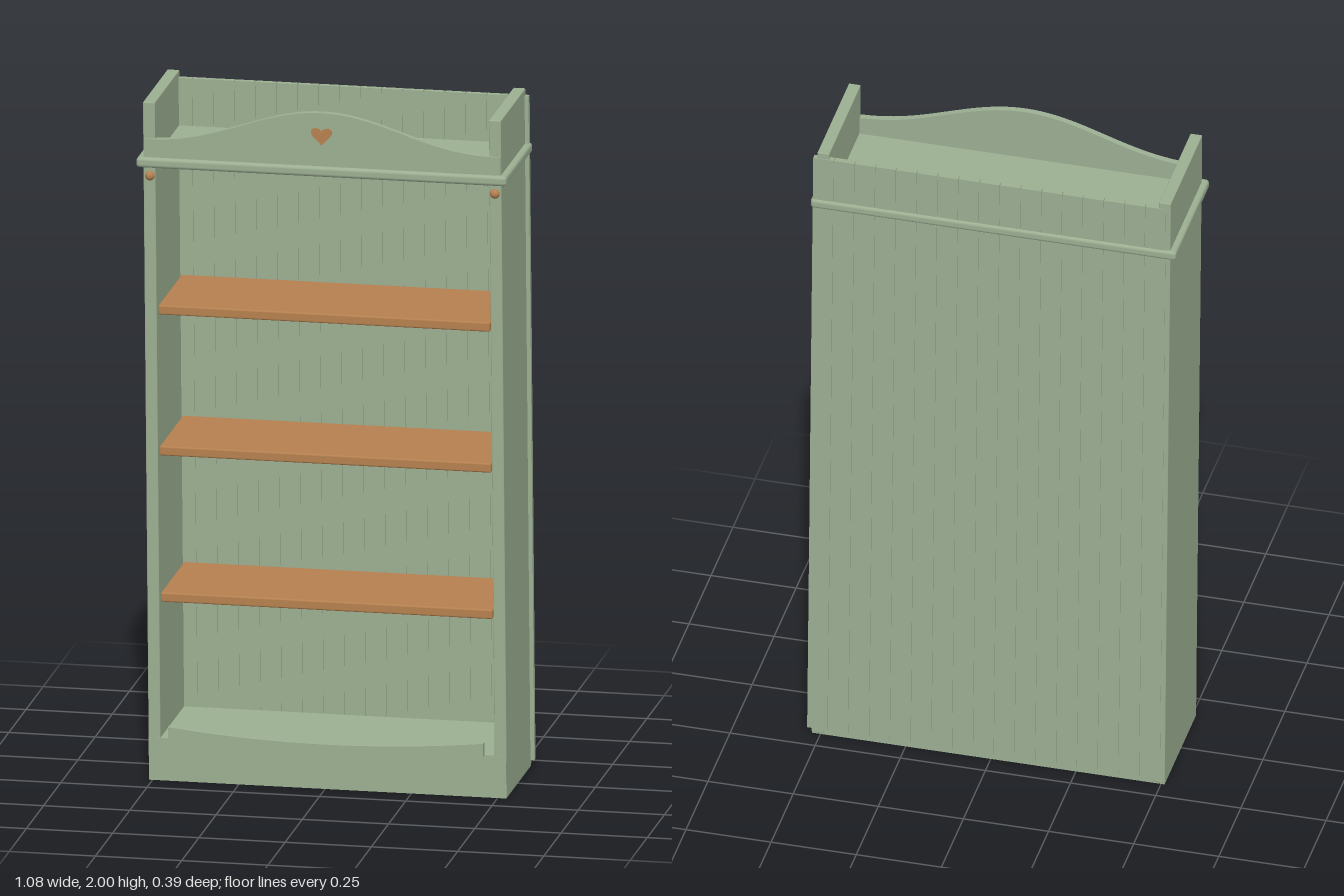
import * as THREE from 'three';
import { RoundedBoxGeometry } from 'three/addons/geometries/RoundedBoxGeometry.js';

export function createModel() {
  const model = new THREE.Group();
  model.name = 'bookcase';
  const green = new THREE.MeshStandardMaterial({ color: 0x9caf92 });
  green.name = 'sage paint';
  const wood = new THREE.MeshStandardMaterial({ color: 0xb5804f });
  wood.name = 'warm wood';

  // The case leans very slightly to its right and forward
  function add(name, geo, material) {
    const p = geo.attributes.position;
    for (let i = 0; i < p.count; i++) {
      const k = p.getY(i) - 1;
      p.setX(i, p.getX(i) - 0.0075 * k);
      p.setZ(i, p.getZ(i) + 0.006 * k);
    }
    const mesh = new THREE.Mesh(geo, material);
    mesh.name = name;
    model.add(mesh);
  }

  // Box given by its limits, with optional rounded edges
  function box(name, x0, x1, y0, y1, z0, z1, material = green, r = 0) {
    const s = [x1 - x0, y1 - y0, z1 - z0];
    const geo = r ? new RoundedBoxGeometry(...s, 2, r) : new THREE.BoxGeometry(...s);
    add(name, geo.translate((x0 + x1) / 2, (y0 + y1) / 2, (z0 + z1) / 2), material);
  }

  // Board with a straight bottom and a top edge given by a rule
  function curvedBoard(name, half, y0, z0, z1, top) {
    const s = new THREE.Shape();
    s.moveTo(-half, y0);
    s.lineTo(half, y0);
    for (let i = 0; i <= 48; i++) {
      const t = 1 - i / 24;
      s.lineTo(t * half, top(t));
    }
    s.closePath();
    const geo = new THREE.ExtrudeGeometry(s, { depth: z1 - z0, bevelEnabled: false });
    add(name, geo.translate(0, 0, z0), green);
  }

  // Carcass: sides, plinth and rounded cornice board
  for (const side of [-1, 1]) {
    const a = side * 0.484, b = side * 0.519;
    box(side > 0 ? 'leftSide' : 'rightSide', Math.min(a, b), Math.max(a, b), 0.005, 2, -0.187, 0.172, green, 0.003);
  }
  box('plinth', -0.518, 0.518, 0, 0.125, -0.184, 0.174);
  box('corniceBoard', -0.537, 0.537, 1.81, 1.84, -0.195, 0.191, green, 0.01);

  // Plank back, set a little towards the left
  const planks = 17, first = -0.505, pitch = 0.061;
  for (let i = 0; i < planks; i++) {
    const x = first + i * pitch;
    box('backPlank', x, x + pitch - 0.0015, 0.02, 1.98, -0.189, -0.172);
  }
  box('backLining', first + 0.005, first + planks * pitch - 0.005, 0.025, 1.975, -0.185, -0.176);

  // Shelves
  for (const y of [0.525, 0.957, 1.373]) {
    box('shelf', -0.481, 0.481, y, y + 0.028, -0.17, 0.168, wood, 0.005);
  }

  // Arched crown and scooped lower rail
  curvedBoard('crown', 0.517, 1.835, 0.16, 0.179,
    t => 1.893 + 0.104 * Math.pow(0.5 + 0.5 * Math.cos(Math.PI * t), 1.2));
  curvedBoard('lowerRail', 0.457, 0.127, 0.179, 0.199, t => 0.138 + 0.027 * t * t);

  // Heart inlay
  const heart = new THREE.Shape();
  heart.moveTo(0, -0.026);
  heart.bezierCurveTo(-0.012, -0.012, -0.03, 0, -0.03, 0.012);
  heart.bezierCurveTo(-0.03, 0.028, -0.006, 0.028, 0, 0.014);
  heart.bezierCurveTo(0.006, 0.028, 0.03, 0.028, 0.03, 0.012);
  heart.bezierCurveTo(0.03, 0, 0.012, -0.012, 0, -0.026);
  const heartGeo = new THREE.ExtrudeGeometry(heart, { depth: 0.006, bevelEnabled: false });
  add('heartInlay', heartGeo.translate(0, 1.928, 0.176), wood);

  // Small pegs below the cornice
  for (const x of [-0.5, 0.5]) {
    add('peg', new THREE.SphereGeometry(0.014, 20, 14).translate(x, 1.784, 0.173), wood);
  }
  return model;
}
